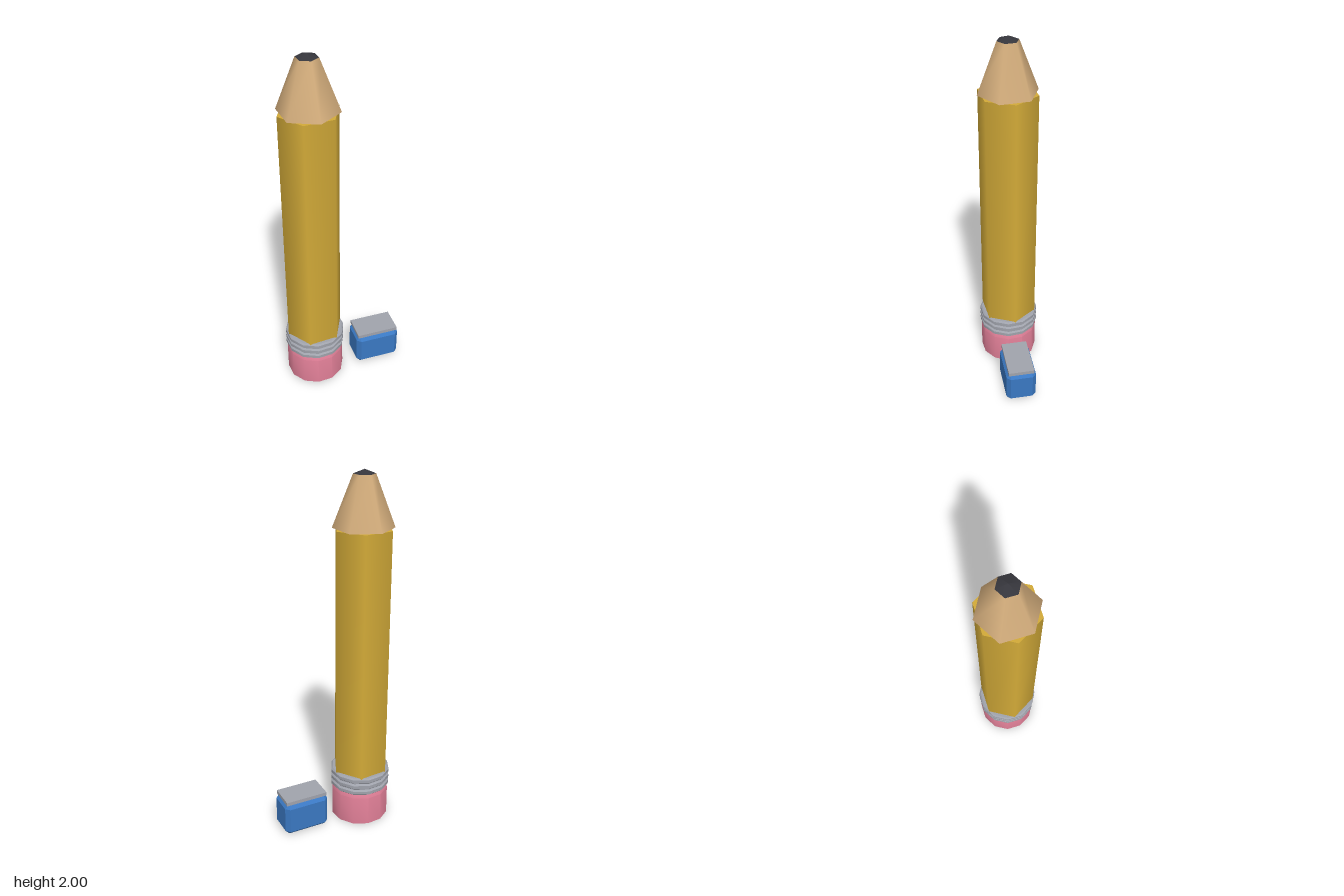
import * as THREE from 'three';
import { toCreasedNormals } from 'three/addons/utils/BufferGeometryUtils.js';
import { ConvexGeometry } from 'three/addons/geometries/ConvexGeometry.js';

const paint = (name, color) => {
  const material = new THREE.MeshStandardMaterial({ color });
  material.name = name;
  return material;
};

// Box with every edge cut at 45 degrees
function chamferedBox(w, h, d, c) {
  const points = [];
  for (const x of [-w / 2, w / 2]) for (const y of [-h / 2, h / 2]) for (const z of [-d / 2, d / 2]) {
    const ix = x - Math.sign(x) * c, iy = y - Math.sign(y) * c, iz = z - Math.sign(z) * c;
    points.push(new THREE.Vector3(x, iy, iz), new THREE.Vector3(ix, y, iz), new THREE.Vector3(ix, iy, z));
  }
  return new ConvexGeometry(points);
}

// Twelve-sided turned part with flats facing the axes
function turned(profile, crease) {
  const points = profile.map(([r, y]) => new THREE.Vector2(r, y));
  const geometry = new THREE.LatheGeometry(points, 12, Math.PI / 12);
  return toCreasedNormals(geometry, crease);
}

export function createModel() {
  const yellow = paint('yellow paint', 0xd2aa38);
  const pink = paint('pink rubber', 0xe07f97);
  const metal = paint('grey metal', 0xa0a3ac);
  const wood = paint('bare wood', 0xd2ac7b);
  const lead = paint('dark lead', 0x36363c);
  const blue = paint('blue plastic', 0x3a78c2);

  const model = new THREE.Group();
  model.name = 'pencilAndSharpener';
  const add = (parent, name, geometry, material, y = 0) => {
    const mesh = new THREE.Mesh(geometry, material);
    mesh.name = name;
    mesh.position.y = y;
    parent.add(mesh);
    return mesh;
  };

  // Pencil standing on its eraser
  const pencil = new THREE.Group();
  pencil.name = 'pencil';
  pencil.position.set(-0.16, 0, 0.05);
  model.add(pencil);

  add(pencil, 'eraser', turned([[0, 0], [0.165, 0], [0.165, 0.172], [0.155, 0.198], [0, 0.198]], 0.6), pink);

  // Ferrule with three raised bands
  const ferrule = [[0, 0.195]];
  for (const y of [0.195, 0.233, 0.271]) {
    ferrule.push([0.162, y], [0.171, y + 0.008], [0.171, y + 0.026], [0.162, y + 0.034]);
  }
  ferrule.push([0, 0.305]);
  add(pencil, 'ferrule', turned(ferrule, 0.6), metal);

  // Hexagonal barrel with corners towards front and back
  add(pencil, 'barrel', new THREE.CylinderGeometry(0.163, 0.163, 1.405, 6), yellow, 1.0025);

  // Sharpened end, turned a twelfth so its corners overhang the barrel flats
  const tip = new THREE.Group();
  tip.name = 'sharpenedTip';
  tip.rotation.y = Math.PI / 6;
  pencil.add(tip);
  add(tip, 'woodCone', new THREE.CylinderGeometry(0.058, 0.163, 0.272, 6), [wood, lead, lead], 1.842);
  add(tip, 'leadPoint', new THREE.ConeGeometry(0.058, 0.022, 6), lead, 1.989);

  // Sharpener beside the pencil
  const sharpener = new THREE.Group();
  sharpener.name = 'sharpener';
  sharpener.position.set(0.18, 0, -0.095);
  sharpener.rotation.y = THREE.MathUtils.degToRad(25);
  model.add(sharpener);
  add(sharpener, 'sharpenerBody', chamferedBox(0.262, 0.194, 0.172, 0.023), blue, 0.102);
  add(sharpener, 'sharpenerPlate', new THREE.BoxGeometry(0.245, 0.021, 0.148), metal, 0.2085);

  return model;
}
